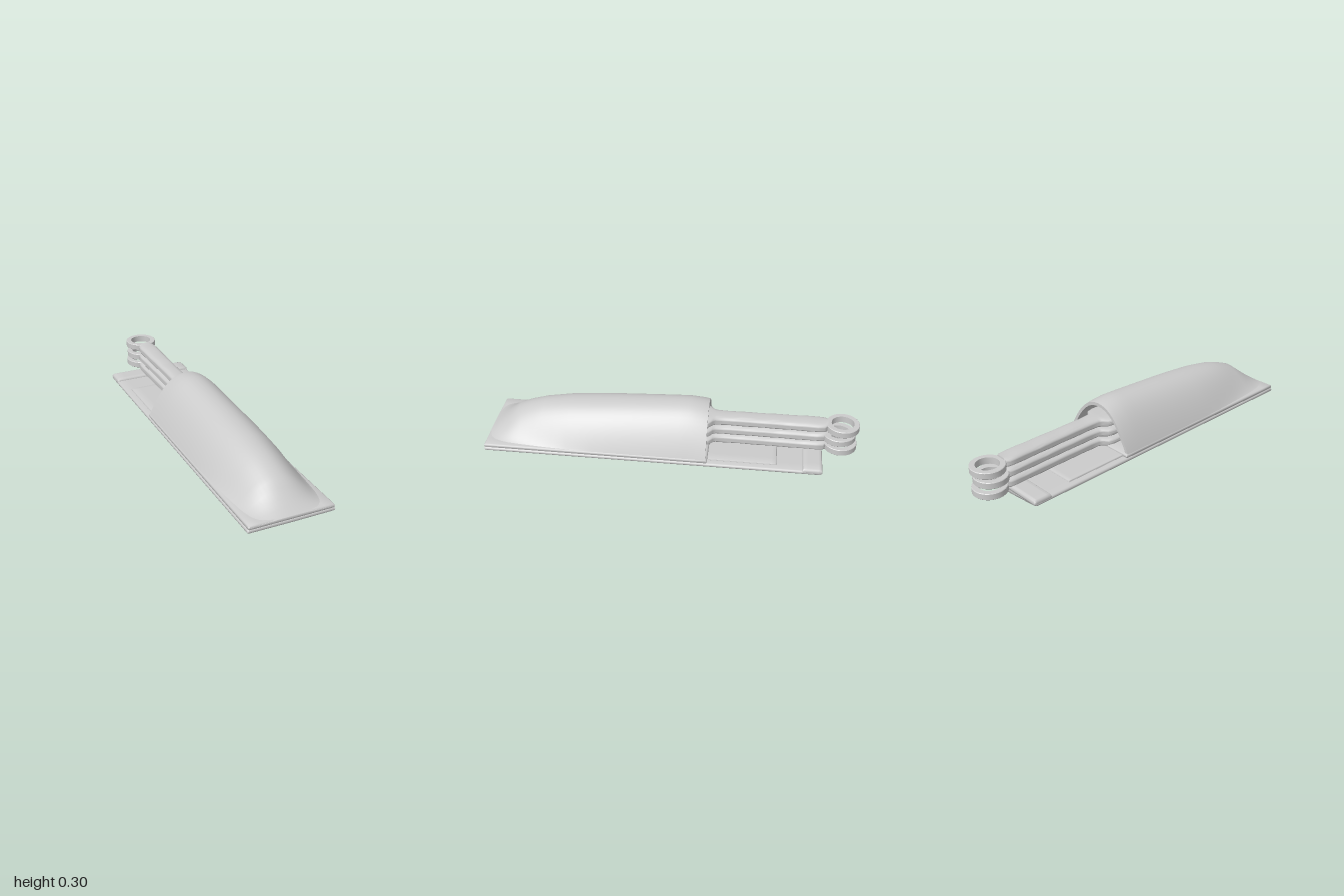
import * as THREE from 'three';
import { toCreasedNormals } from 'three/addons/utils/BufferGeometryUtils.js';

const material = new THREE.MeshStandardMaterial({ color: 0xcccccc, side: THREE.DoubleSide });

function addMesh(parent, geometry, name) {
  const mesh = new THREE.Mesh(geometry, material);
  mesh.name = name;
  parent.add(mesh);
  return mesh;
}

// Surface through rows of points; columns run counter-clockwise seen from +z.
function skin(rows, crease = 0.7) {
  const cols = rows[0].length;
  const index = [];
  for (let i = 0; i < rows.length - 1; i++) {
    for (let j = 0; j < cols - 1; j++) {
      const a = i * cols + j, c = a + cols;
      index.push(a, a + 1, c, a + 1, c + 1, c);
    }
  }
  const geometry = new THREE.BufferGeometry();
  geometry.setAttribute('position', new THREE.Float32BufferAttribute(rows.flat(2), 3));
  geometry.setIndex(index);
  return toCreasedNormals(geometry, crease);
}

// Smooth lookup in a short table of [key, value] pairs.
function lookup(table, k) {
  if (k <= table[0][0]) return table[0][1];
  for (let i = 1; i < table.length; i++) {
    const [k0, v0] = table[i - 1], [k1, v1] = table[i];
    if (k <= k1) return v0 + (v1 - v0) * (k - k0) / (k1 - k0);
  }
  return table[table.length - 1][1];
}

// Thin pad with softly rounded edges; top and bottom are height rules of (u, z).
function sheet(z0, z1, halfWidth, top, bottom, edge = 0.008) {
  const e = 1 - edge / halfWidth;
  const us = [1, 1 - (1 - e) * 0.3, e, 0.75, 0.5, 0.25, 0, -0.25, -0.5, -0.75, -e, -1 + (1 - e) * 0.3, -1];
  const zs = [z0, z0 + edge * 0.3, z0 + edge];
  for (let i = 1; i < 16; i++) zs.push(z0 + (z1 - z0) * i / 16);
  zs.push(z1 - edge, z1 - edge * 0.3, z1);
  const round = (d) => {
    const t = Math.min(1, Math.max(0, d / edge));
    return Math.sqrt(1 - (1 - t) ** 2);
  };
  const rows = zs.map((z) => {
    const point = (u, height) => {
      const t = round((1 - Math.abs(u)) * halfWidth) * round(Math.min(z - z0, z1 - z));
      const mid = (top(u, z) + bottom(u, z)) / 2;
      return [u * halfWidth, mid + (height(u, z) - mid) * t, z];
    };
    return [...us.map((u) => point(u, top)), ...[...us].reverse().map((u) => point(u, bottom))];
  });
  return skin(rows, 0.9);
}

// Ridge height of the pouch along its length
const ridge = [
  [-0.2, 0.284], [-0.17, 0.291], [-0.1, 0.298], [0, 0.294], [0.3, 0.277], [0.55, 0.257],
  [0.7, 0.234], [0.78, 0.21], [0.85, 0.182], [0.93, 0.12], [1, 0.068],
];

function pouch() {
  const n = 32, base = 0.06, halfWidth = 0.225;
  const row = (z, inset) => {
    const h = lookup(ridge, z) - base - inset;
    const flare = 0.9 * THREE.MathUtils.smoothstep(z, 0.45, 0.95);
    return Array.from({ length: n + 1 }, (_, j) => {
      const u = Math.cos(Math.PI * j / n);
      const rise = (1 - Math.abs(u) ** 2.2) ** (1 + flare);
      return [u * (halfWidth - inset), base + h * rise, z];
    });
  };
  const rows = [];
  // lining, running back to the mouth, then the outside running forward
  for (const z of [0.7, 0.5, 0.3, 0.1, 0, -0.1, -0.17, -0.2]) rows.push(row(z, 0.018));
  rows.push(row(-0.2, 0));
  for (const z of [-0.17, -0.13, -0.1, -0.05, 0, 0.1, 0.2, 0.3, 0.42, 0.55, 0.63, 0.7,
    0.74, 0.78, 0.82, 0.85, 0.89, 0.93, 0.965, 1]) rows.push(row(z, 0));
  return skin(rows, 0.8);
}

// Tool shank, widening into a blade inside the pouch
const shank = [
  [-0.835, 0], [-0.832, 0.036], [-0.815, 0.05], [-0.78, 0.053], [-0.5, 0.049], [-0.3, 0.048],
  [-0.24, 0.05], [-0.225, 0.06], [-0.205, 0.085], [-0.17, 0.095], [0, 0.09], [0.3, 0.05], [0.5, 0],
];

function shankGeometry(phase) {
  const n = 24;
  const zs = [...shank.map((s) => s[0])];
  for (let i = 0; i < 12; i++) zs.push(-0.76 + i * 0.043);
  zs.sort((a, b) => a - b);
  const power = (v, p) => Math.sign(v) * Math.abs(v) ** p;
  const rows = zs.map((z) => {
    const w = lookup(shank, z);
    const h = Math.min(0.027, w * 0.75) + (w > 0.04 ? 0.0012 * Math.sin(z * 38 + phase) : 0);
    return Array.from({ length: n + 1 }, (_, j) => {
      const a = 2 * Math.PI * (j % n) / n;
      return [w * power(Math.cos(a), 0.65), h * power(Math.sin(a), 0.8), z];
    });
  });
  return skin(rows, 0.9);
}

function ringGeometry() {
  const ri = 0.06, ro = 0.089, h = 0.018, b = 0.003;
  const profile = [
    [ri, -h], [ro - b, -h], [ro, -h + b], [ro, h - b], [ro - b, h], [ri, h], [ri, -h],
  ].map(([x, y]) => new THREE.Vector2(x, y));
  return toCreasedNormals(new THREE.LatheGeometry(profile, 32), 0.6);
}

export function createModel() {
  const model = new THREE.Group();
  model.name = 'toolPouch';

  // Backing: sagging lower sheet, upper sheet, rear hem and inner patch
  const sag = (u, z) => {
    const s = 1 - THREE.MathUtils.smoothstep(z, -0.7, 1.3);
    return 0.03 - 0.027 * s * (1 - Math.abs(u) ** 1.2);
  };
  const backing = new THREE.Group();
  backing.name = 'backing';
  model.add(backing);
  addMesh(backing, sheet(-0.81, 1, 0.23, () => 0.051, sag, 0.01), 'lowerSheet');
  addMesh(backing, sheet(-0.21, 1, 0.226, () => 0.07, () => 0.047), 'upperSheet');
  addMesh(backing, sheet(-0.815, -0.71, 0.23, () => 0.064, () => 0.03, 0.012), 'rearHem');
  addMesh(backing, sheet(-0.575, -0.15, 0.195, () => 0.059, () => 0.045, 0.005), 'innerPatch');

  addMesh(model, pouch(), 'pouch');

  // Three stacked tools, each a shank with a ring at the end
  [[0.08, -0.907], [0.137, -0.897], [0.196, -0.911]].forEach(([y, ringZ], i) => {
    const tool = new THREE.Group();
    tool.name = `tool${i + 1}`;
    tool.position.y = y;
    addMesh(tool, shankGeometry(i * 2), 'shank');
    addMesh(tool, ringGeometry(), 'ring').position.z = ringZ;
    model.add(tool);
  });

  return model;
}
